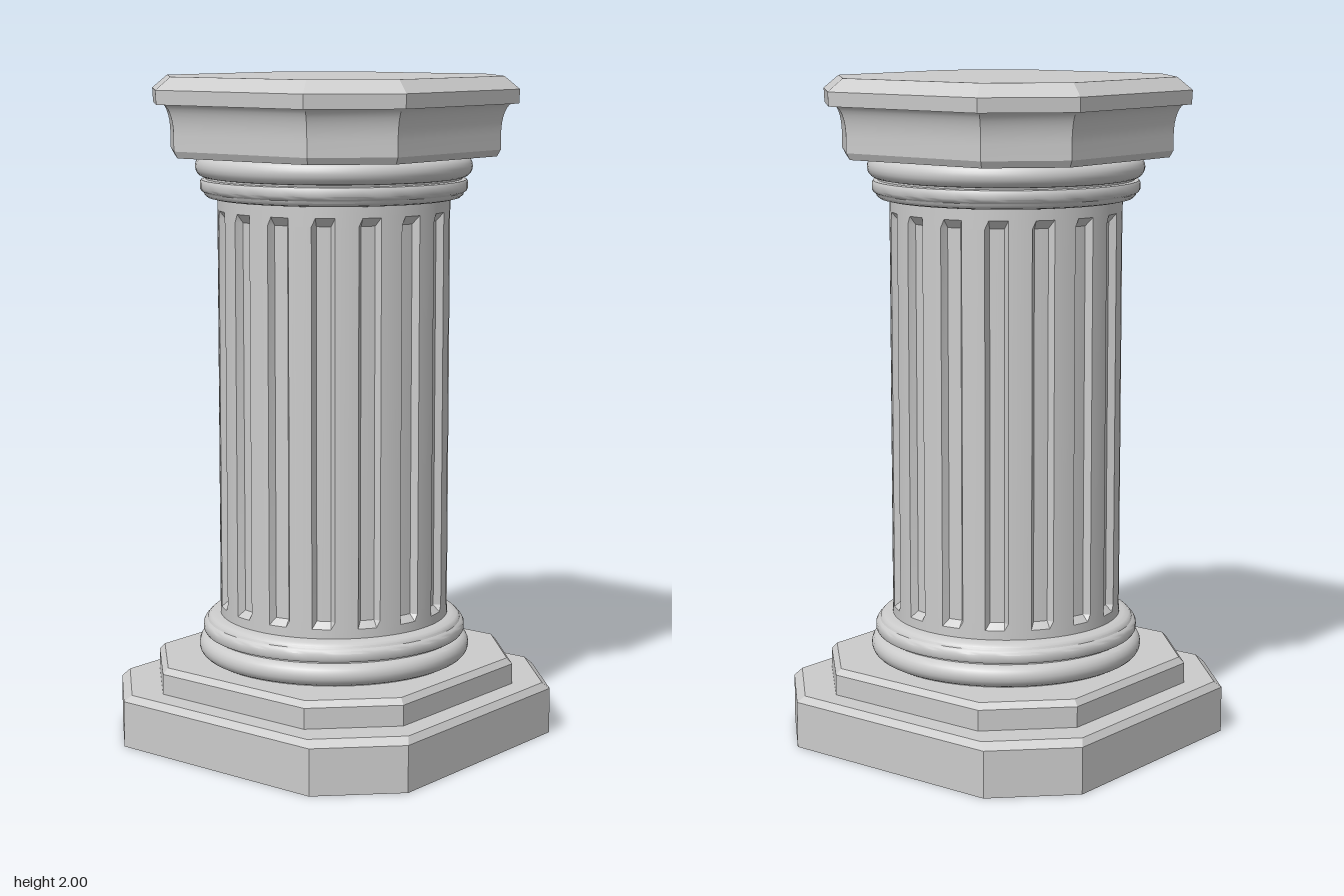
import * as THREE from 'three';
import { toCreasedNormals } from 'three/addons/utils/BufferGeometryUtils.js';

const material = new THREE.MeshStandardMaterial({ color: 0xcccccc });

// Skin a stack of equal-sized rings of [x, y, z] points and cap both ends
function loft(rings, crease) {
  const n = rings[0].length, index = [];
  const points = rings.flat();
  for (let r = 0; r < rings.length - 1; r++) {
    for (let i = 0; i < n; i++) {
      const a = r * n + i, b = r * n + (i + 1) % n;
      index.push(a, b, b + n, a, b + n, a + n);
    }
  }
  const bottom = points.length, top = bottom + 1, last = (rings.length - 1) * n;
  points.push([0, rings[0][0][1], 0], [0, rings.at(-1)[0][1], 0]);
  for (let i = 0; i < n; i++) {
    const j = (i + 1) % n;
    index.push(bottom, j, i, top, last + i, last + j);
  }
  const geometry = new THREE.BufferGeometry();
  geometry.setAttribute('position', new THREE.Float32BufferAttribute(points.flat(), 3));
  geometry.setIndex(index);
  return toCreasedNormals(geometry, crease);
}

// Square with cut corners: h = half width, c = where the corner cut starts
function octagon([y, h, c]) {
  return [[c, h], [h, c], [h, -c], [c, -h], [-c, -h], [-h, -c], [-h, c], [-c, h]]
    .map(([x, z]) => [x, y, z]);
}

const block = (sections) => loft(sections.map(octagon), 0.45);

// Round shaft with sunken, bevelled flutes that stop short of both ends
function flutedShaft() {
  const flutes = 16, radius = 0.348, floor = 0.328;
  const offsets = [-11.25, -8.4, -5.6, -3.7, 0, 3.7, 5.6, 8.4];
  const rows = [0.36, 0.4, 0.42, 1.58, 1.605, 1.65];
  const rings = rows.map((y, row) => {
    const ring = [];
    for (let f = 0; f < flutes; f++) {
      for (const o of offsets) {
        const sunk = Math.abs(o) < 4 && (row === 2 || row === 3);
        const a = THREE.MathUtils.degToRad((f + 0.5) * 360 / flutes + o);
        const r = sunk ? floor : radius;
        ring.push([r * Math.sin(a), y, r * Math.cos(a)]);
      }
    }
    return ring;
  });
  return loft(rings, 0.4);
}

// Turned moulding: a half-round roll, then a smaller rounded band, ending at the shaft
function moulding() {
  const profile = [[0, 0], [0.385, 0]];
  for (let i = 0; i <= 10; i++) {
    const a = -Math.PI / 2 + Math.PI * i / 10;
    profile.push([0.383 + 0.031 * Math.cos(a), 0.035 + 0.033 * Math.sin(a)]);
  }
  profile.push([0.383, 0.073], [0.396, 0.075], [0.4, 0.082], [0.4, 0.1],
    [0.396, 0.108], [0.388, 0.113], [0.386, 0.12], [0.378, 0.127], [0.362, 0.131], [0.34, 0.133]);
  const points = profile.map(([x, y]) => new THREE.Vector2(x, y));
  return toCreasedNormals(new THREE.LatheGeometry(points, 64), 0.6);
}

export function createModel() {
  const group = new THREE.Group();
  const add = (name, geometry) => {
    const mesh = new THREE.Mesh(geometry, material);
    mesh.name = name;
    group.add(mesh);
    return mesh;
  };

  // Stepped base
  add('lowerPlinth', block([[0, 0.56, 0.36], [0.14, 0.56, 0.36], [0.16, 0.545, 0.34]]));
  add('upperPlinth', block([[0.16, 0.478, 0.275], [0.222, 0.478, 0.275], [0.24, 0.463, 0.267]]));

  // Shaft between matching mouldings
  add('baseMoulding', moulding()).position.y = 0.24;
  add('shaft', flutedShaft());
  const upper = add('capitalMoulding', moulding());
  upper.position.y = 1.77;
  upper.rotation.x = Math.PI;

  // Coved neck flaring out under the slab
  const neck = [[1.765, 0.42, 0.245], [1.785, 0.43, 0.25]];
  for (let i = 0; i <= 8; i++) {
    const a = (Math.PI / 2) * i / 8;
    const flare = 1 - Math.cos(a);
    neck.push([1.83 + 0.092 * Math.sin(a), 0.43 + 0.032 * flare, 0.25 + 0.018 * flare]);
  }
  add('capitalNeck', block(neck));

  // Bevelled top slab
  add('capitalSlab', block([[1.92, 0.476, 0.275], [1.962, 0.478, 0.276], [2, 0.437, 0.254]]));
  return group;
}
